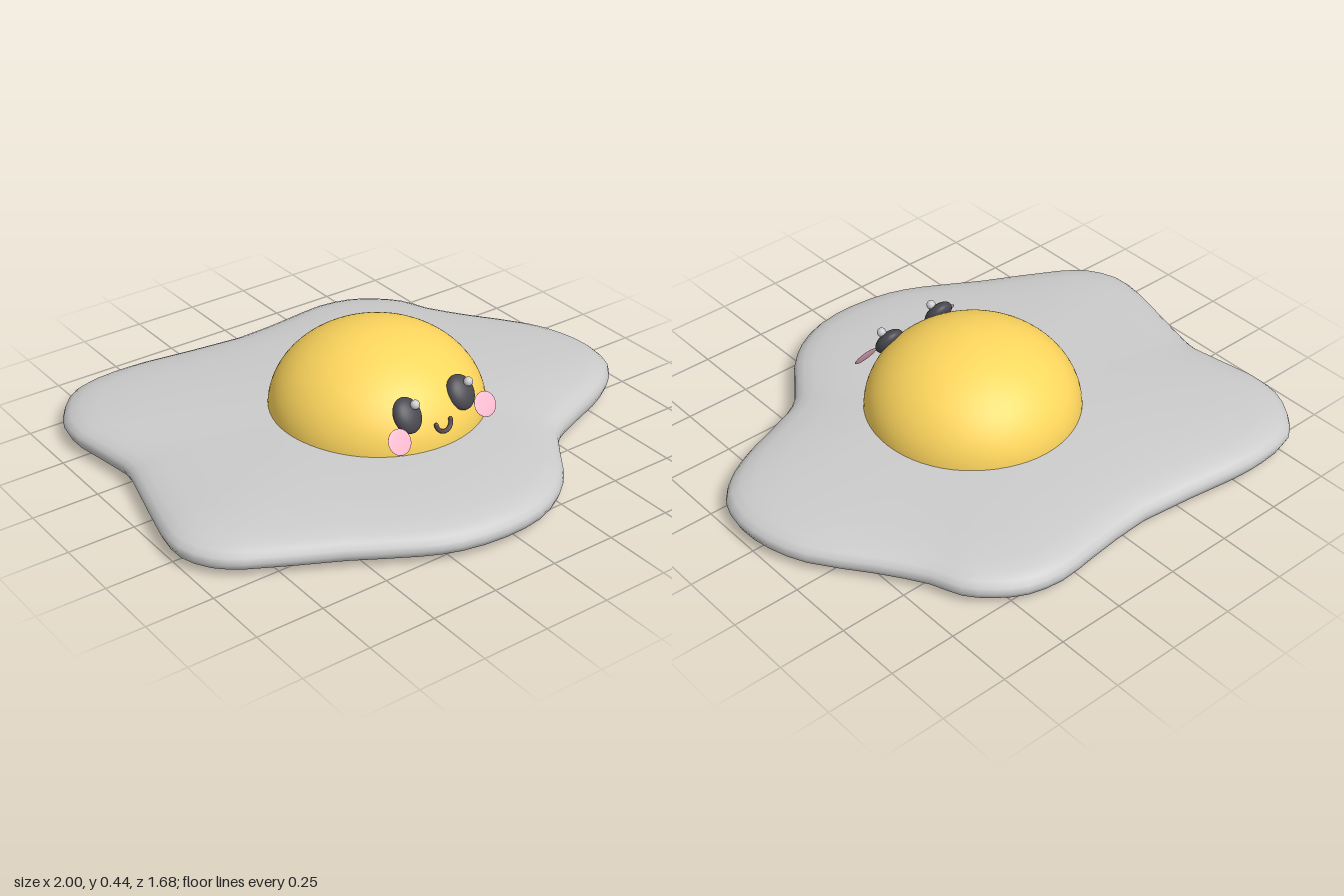
import * as THREE from 'three';

const material = (color) => new THREE.MeshStandardMaterial({ color });

// Wavy outline of the egg white as x, z pairs, counter-clockwise from above
const OUTLINE = [
  -0.62, -0.845, -0.77, -0.82, -0.86, -0.74, -0.92, -0.63, -0.93, -0.51, -0.89, -0.26,
  -0.905, -0.16, -0.99, 0.16, -1, 0.29, -0.95, 0.40, -0.86, 0.475, -0.57, 0.63,
  -0.36, 0.755, -0.23, 0.81, -0.06, 0.835, 0.10, 0.82, 0.23, 0.76, 0.33, 0.67,
  0.45, 0.505, 0.53, 0.45, 0.75, 0.365, 0.87, 0.30, 0.96, 0.21, 0.995, 0.08,
  0.98, -0.06, 0.925, -0.20, 0.785, -0.39, 0.68, -0.55, 0.635, -0.66, 0.56, -0.74,
  0.465, -0.80, 0.335, -0.825, 0.18, -0.81, -0.08, -0.79, -0.475, -0.84,
];

// Cross-section of the egg white: outline scale, height
const SECTION = [
  [0, 0], [0.5, 0.006], [0.9, 0.017], [0.97, 0.022], [0.99, 0.033], [1, 0.055], [0.994, 0.075],
  [0.975, 0.092], [0.94, 0.106], [0.88, 0.119], [0.75, 0.132], [0.55, 0.142], [0.35, 0.147], [0, 0.15],
];

function eggWhiteGeometry() {
  const corners = [];
  for (let i = 0; i < OUTLINE.length; i += 2) {
    corners.push(new THREE.Vector3(OUTLINE[i], 0, OUTLINE[i + 1]));
  }
  const n = corners.length * 2;
  const loop = new THREE.CatmullRomCurve3(corners, true).getPoints(n).slice(0, n);

  const positions = [];
  const index = [];
  SECTION.forEach(([scale, y], ring) => {
    loop.forEach((p, j) => {
      positions.push(p.x * scale, y, p.z * scale);
      if (ring === SECTION.length - 1) return;
      const a = ring * n + j;
      const b = ring * n + (j + 1) % n;
      index.push(a, b, b + n, a, b + n, a + n);
    });
  });
  const geometry = new THREE.BufferGeometry();
  geometry.setAttribute('position', new THREE.Float32BufferAttribute(positions, 3));
  geometry.setIndex(index);
  geometry.computeVertexNormals();
  return geometry;
}

export function createModel() {
  const model = new THREE.Group();
  model.name = 'friedEgg';

  const add = (parent, name, geometry, mat, position, scale = [1, 1, 1], tilt = 0) => {
    const mesh = new THREE.Mesh(geometry, mat);
    mesh.name = name;
    mesh.position.set(...position);
    mesh.scale.set(...scale);
    mesh.rotation.x = tilt;
    parent.add(mesh);
    return mesh;
  };

  add(model, 'eggWhite', eggWhiteGeometry(), material(0xcccccc), [0, 0, 0]);

  // Domed yolk, closed off inside the white
  const dome = new THREE.SphereGeometry(1, 64, 32, 0, Math.PI * 2, 0, Math.PI * 0.52);
  add(model, 'yolk', dome, material(0xffd75e), [0.018, 0.13, 0], [0.395, 0.307, 0.395]);

  // Face, turned slightly towards the model's left
  const face = new THREE.Group();
  face.name = 'face';
  face.position.set(-0.007, 0, 0);
  face.rotation.y = 0.066;
  model.add(face);

  const ball = new THREE.SphereGeometry(1, 32, 20);
  const dark = material(0x4a4850);
  const pink = material(0xf7b9cd);
  const shine = material(0xcccccc);
  for (const [side, s] of [['left', 1], ['right', -1]]) {
    add(face, side + 'Eye', ball, dark, [s * 0.123, 0.286, 0.335], [0.055, 0.065, 0.032], -0.6);
    add(face, side + 'EyeHighlight', ball, shine, [s * 0.123 + 0.021, 0.328, 0.351], [0.017, 0.017, 0.017]);
    add(face, side + 'Cheek', ball, pink, [s * 0.198, 0.231, 0.383], [0.048, 0.046, 0.004], -0.56);
  }

  // Smile: half ring opening upwards, with rounded ends
  const smile = new THREE.Group();
  smile.name = 'smile';
  smile.position.set(0, 0.235, 0.384);
  smile.rotation.x = -0.35;
  face.add(smile);
  const lip = material(0x554648);
  const arc = new THREE.TorusGeometry(0.033, 0.008, 10, 24, Math.PI);
  add(smile, 'mouth', arc, lip, [0, 0, 0]).rotation.z = Math.PI;
  for (const s of [-1, 1]) {
    add(smile, 'mouthCorner', ball, lip, [s * 0.033, 0, 0], [0.008, 0.008, 0.008]);
  }
  return model;
}
